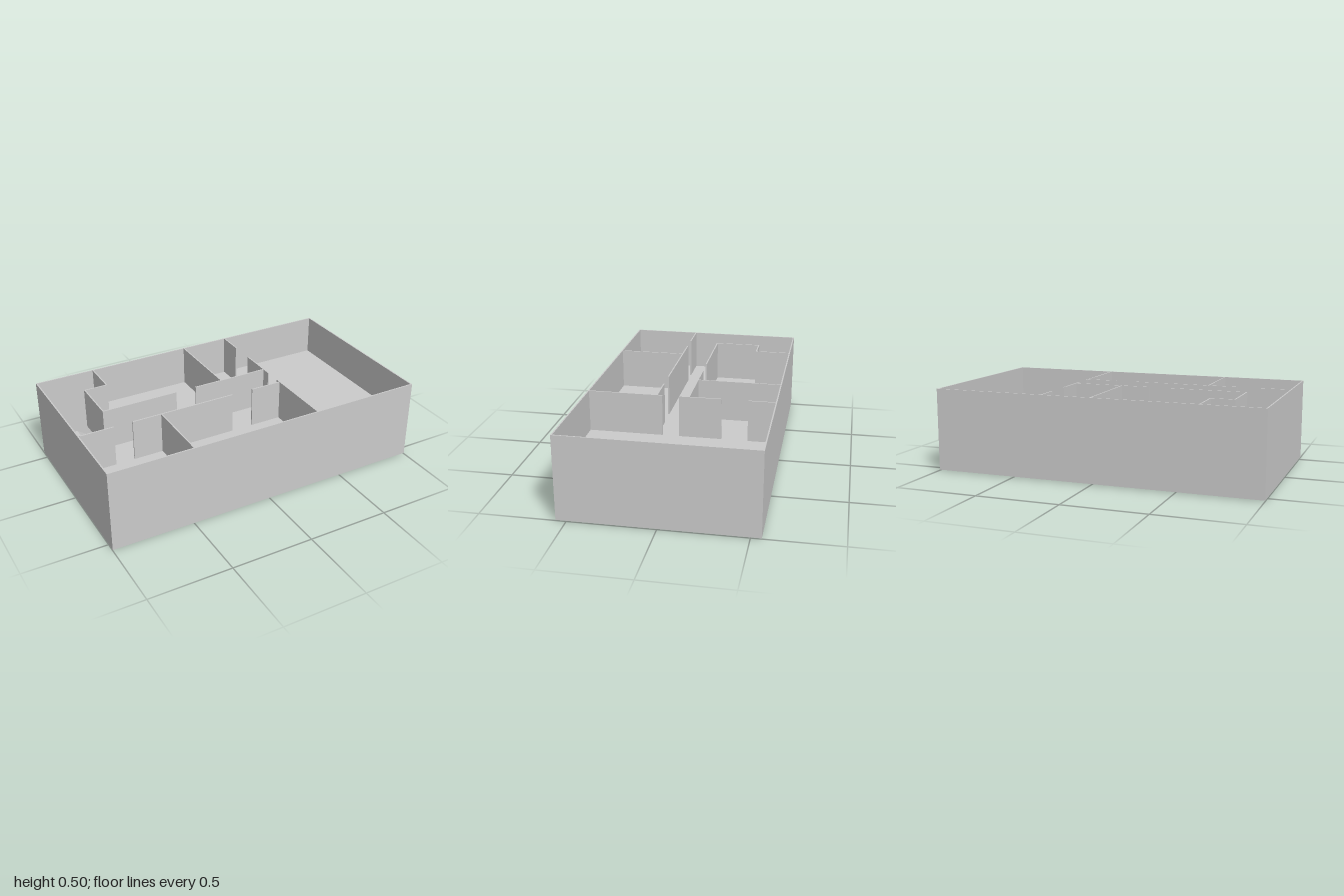
import * as THREE from 'three';

const BASE = 0.004, FLOOR = 0.253, TOP = 0.502, T = 0.008;

export function createModel() {
  const model = new THREE.Group();
  model.name = 'floorPlan';
  const material = new THREE.MeshStandardMaterial({ color: 0xcccccc, flatShading: true, side: THREE.DoubleSide });

  function add(name, geometry) {
    const mesh = new THREE.Mesh(geometry, material);
    mesh.name = name;
    model.add(mesh);
    return mesh;
  }

  // Box given by its minimum and maximum corners
  function block(name, x0, x1, y0, y1, z0, z1) {
    add(name, new THREE.BoxGeometry(x1 - x0, y1 - y0, z1 - z0))
      .position.set((x0 + x1) / 2, (y0 + y1) / 2, (z0 + z1) / 2);
  }
  const wallX = (name, z, x0, x1, y0) => block(name, x0, x1, y0, TOP, z - T / 2, z + T / 2);
  const wallZ = (name, x, z0, z1, y0) => block(name, x - T / 2, x + T / 2, y0, TOP, z0, z1);

  // Polygon in a flat plane, extruded by a depth
  const extrude = (points, depth) => new THREE.ExtrudeGeometry(
    new THREE.Shape(points.map(([x, y]) => new THREE.Vector2(x, y))), { depth, bevelEnabled: false });

  block('lowerFloor', -1, 1, BASE, BASE + 0.005, -0.56, 0.56);

  // Upper floor, cut out around the stairwell
  const upperFloor = add('upperFloor', extrude([
    [-0.99, -0.13], [-0.772, -0.13], [-0.772, -0.337], [-0.632, -0.337],
    [-0.632, -0.555], [0.995, -0.555], [0.995, 0.555], [-0.99, 0.555],
  ], 0.008));
  upperFloor.rotation.x = Math.PI / 2;
  upperFloor.position.y = FLOOR;

  // Outer walls, two storeys high
  for (const s of [-1, 1]) {
    wallX('outerLongWall', s * (0.56 - T / 2), -1, 1, BASE);
    wallZ('outerEndWall', s * (1 - T / 2), -0.56 + T, 0.56 - T, BASE);
  }

  // Partitions across the width: z, then x from and to; gaps are doorways
  for (const [z, x0, x1] of [
    [-0.335, -0.774, -0.626],
    [-0.048, -0.774, -0.3], [-0.048, -0.17, 0.312],
    [0.142, -0.99, -0.785], [0.142, -0.67, -0.02], [0.142, 0.115, 0.312],
  ]) wallX('partitionWall', z, x0, x1, FLOOR);

  // Partitions along the depth: x, then z from and to
  for (const [x, z0, z1] of [
    [-0.63, -0.552, -0.335], [-0.77, -0.335, -0.048], [0.008, -0.552, -0.048],
    [0.313, -0.552, -0.395], [0.313, -0.24, 0.01], [0.313, 0.11, 0.552],
    [-0.488, 0.142, 0.552],
  ]) wallZ('partitionWall', x, z0, z1, FLOOR);

  // Stairs from the lower floor: sloped flight, corner landing, second flight
  const landing = 0.1;
  block('stairLanding', -0.99, -0.772, landing - T, landing, -0.55, -0.34);

  const flight = (name, run, y0, y1, width) =>
    add(name, extrude([[0, y0 - T], [run, y1 - T], [run, y1], [0, y0]], width));
  flight('lowerStairFlight', 0.135, landing, T, 0.21).position.set(-0.772, 0, -0.55);
  const upperFlight = flight('upperStairFlight', 0.21, landing, FLOOR, 0.218);
  upperFlight.rotation.y = -Math.PI / 2;
  upperFlight.position.set(-0.772, 0, -0.34);

  return model;
}
